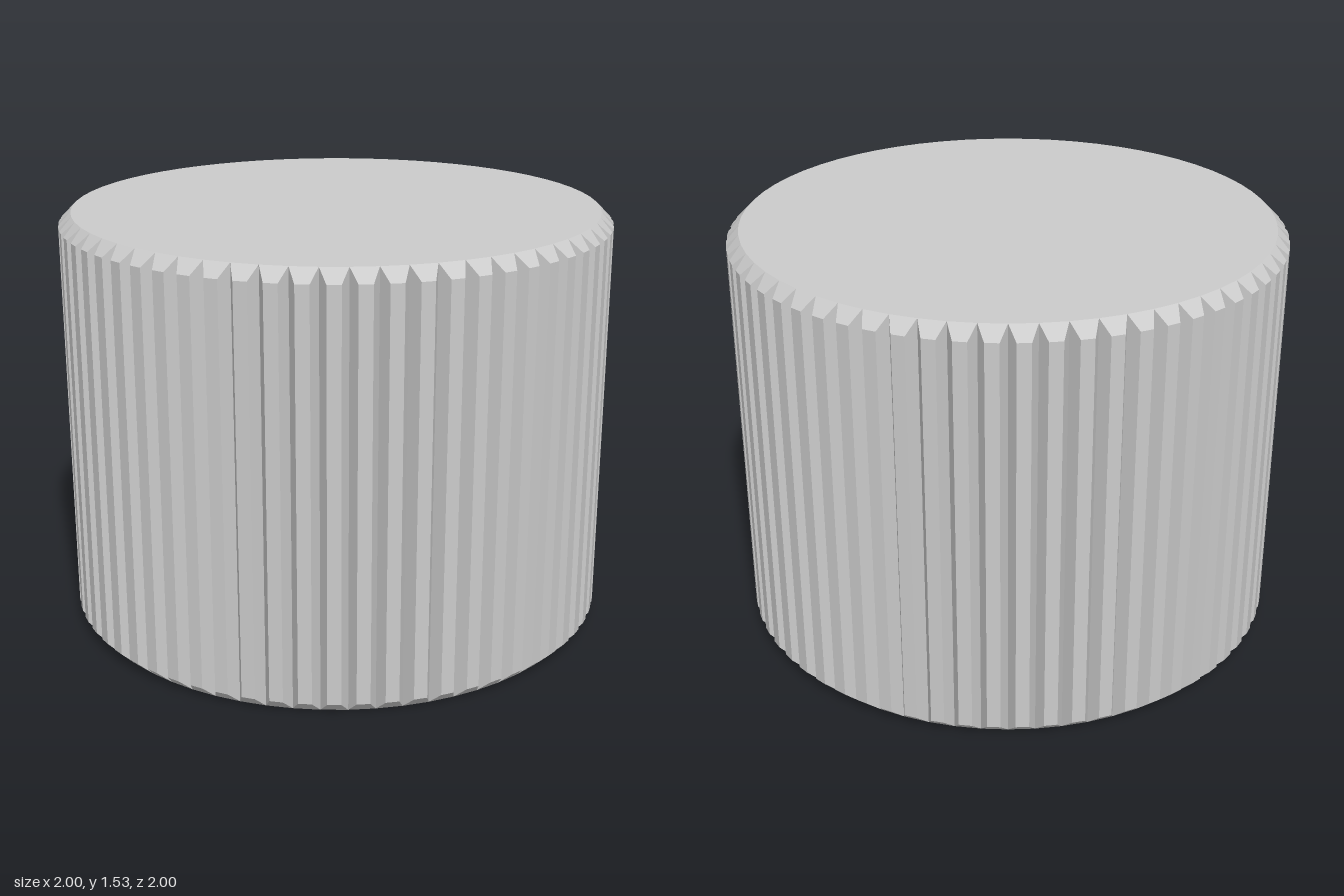
import * as THREE from 'three';

const TEETH = 64;
const HEIGHT = 1.535;
const CHAMFER = 0.045;
const ROOT_R = 0.955;
const TIP_HALF = 0.0235; // half the angle of a tooth's flat land
const TIP_R = 1 / Math.cos(TIP_HALF);
const PITCH = (Math.PI * 2) / TEETH;

// Point on the wall: angle 0 faces the front, growing towards +x
const at = (angle, r, y) => [Math.sin(angle) * r, y, Math.cos(angle) * r];

function ridgesGeometry() {
  const pos = [];
  const quad = (a, b, c, d) => pos.push(...a, ...b, ...c, ...a, ...c, ...d);
  const lowY = CHAMFER, highY = HEIGHT - CHAMFER;

  for (let i = 0; i < TEETH; i++) {
    const mid = i * PITCH;
    const [l, r] = [mid - PITCH / 2, mid + PITCH / 2];
    // Roots run the full height, tips stop at the chamfers
    const rootL0 = at(l, ROOT_R, 0), rootL1 = at(l, ROOT_R, HEIGHT);
    const rootR0 = at(r, ROOT_R, 0), rootR1 = at(r, ROOT_R, HEIGHT);
    const tipL0 = at(mid - TIP_HALF, TIP_R, lowY), tipL1 = at(mid - TIP_HALF, TIP_R, highY);
    const tipR0 = at(mid + TIP_HALF, TIP_R, lowY), tipR1 = at(mid + TIP_HALF, TIP_R, highY);

    quad(rootL0, tipL0, tipL1, rootL1); // left flank
    quad(tipL0, tipR0, tipR1, tipL1);   // land
    quad(tipR0, rootR0, rootR1, tipR1); // right flank
    quad(tipL1, tipR1, rootR1, rootL1); // top chamfer
    quad(rootL0, rootR0, tipR0, tipL0); // bottom chamfer
  }

  const geo = new THREE.BufferGeometry();
  geo.setAttribute('position', new THREE.Float32BufferAttribute(pos, 3));
  geo.computeVertexNormals();
  return geo;
}

export function createModel() {
  const group = new THREE.Group();
  group.name = 'ridgedKnob';
  const material = new THREE.MeshStandardMaterial({ color: 0xcccccc, flatShading: true });

  const add = (name, geometry) => {
    const mesh = new THREE.Mesh(geometry, material);
    mesh.name = name;
    group.add(mesh);
    return mesh;
  };

  // Ridged grip wall with chamfered ends
  add('ridgedWall', ridgesGeometry());

  // Flat end discs, their rims meeting the roots between the ridges
  const disc = () => new THREE.CircleGeometry(ROOT_R, TEETH, PITCH / 2);
  add('topFace', disc().rotateX(-Math.PI / 2).translate(0, HEIGHT, 0));
  add('bottomFace', disc().rotateX(Math.PI / 2));

  return group;
}
